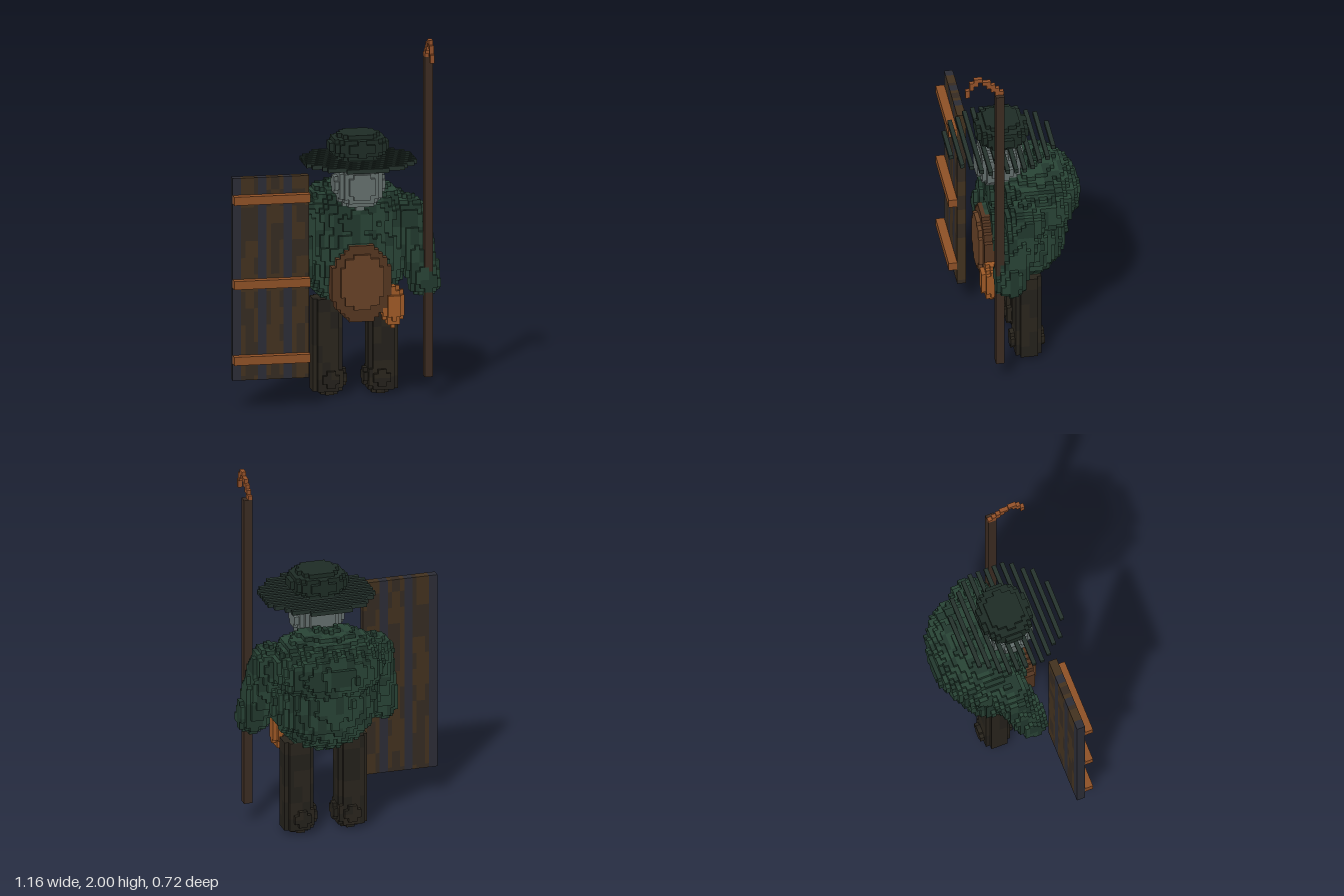
import * as THREE from 'three';

const V = 2 / 86; // voxel size; all measures below are in voxels
const MID = 6;    // mirror line of the figure in x

// Repeatable hash in 0..1
function hash(x, y, z) {
  const s = Math.sin(x * 12.99 + y * 78.23 + z * 37.72 + 4.1) * 43758.55;
  return s - Math.floor(s);
}

const ball = (x, y, z, c, r) =>
  ((x - c[0]) / r[0]) ** 2 + ((y - c[1]) / r[1]) ** 2 + ((z - c[2]) / r[2]) ** 2;

// Squared distance to a tapered limb, relative to its radius
function limb(x, y, z, a, b, ra, rb) {
  const d = b.map((v, i) => v - a[i]);
  const p = [x - a[0], y - a[1], z - a[2]];
  const dot = p[0] * d[0] + p[1] * d[1] + p[2] * d[2];
  const t = Math.min(1, Math.max(0, dot / (d[0] ** 2 + d[1] ** 2 + d[2] ** 2)));
  const q = p.map((v, i) => v - t * d[i]);
  return (q[0] ** 2 + q[1] ** 2 + q[2] ** 2) / (ra + (rb - ra) * t) ** 2;
}

// Two tangents per axis, ordered so that u x v = +axis
const TANGENTS = [[1, 2], [2, 0], [0, 1]];

// Fills a box with cubes where solid() holds and keeps only the exposed faces.
// One mesh is made per colour; pick() chooses the colour of a cube.
function voxels(name, colors, min, max, solid, pick = () => 0) {
  const group = new THREE.Group();
  group.name = name;
  const data = colors.map(() => ({ pos: [], nor: [] }));
  const filled = (c) => c.every((v, i) => v >= min[i] && v < max[i]) &&
    solid(c[0] + 0.5, c[1] + 0.5, c[2]);
  for (let i = min[0]; i < max[0]; i++)
    for (let j = min[1]; j < max[1]; j++)
      for (let k = min[2]; k < max[2]; k++) {
        const cell = [i, j, k];
        if (!filled(cell)) continue;
        const { pos, nor } = data[pick(i, j, k)];
        for (let axis = 0; axis < 3; axis++)
          for (const side of [1, -1]) {
            const next = [...cell];
            next[axis] += side;
            if (filled(next)) continue;
            const [u, v] = TANGENTS[axis];
            const corners = [[-1, -1], [side, -side], [1, 1], [-side, side]].map(([a, b]) => {
              const p = [i + 0.5, j + 0.5, k];
              p[axis] += side / 2;
              p[u] += a / 2;
              p[v] += b / 2;
              return p.map((n) => n * V);
            });
            const normal = [0, 0, 0];
            normal[axis] = side;
            for (const n of [0, 1, 2, 0, 2, 3]) {
              pos.push(...corners[n]);
              nor.push(...normal);
            }
          }
      }
  data.forEach(({ pos, nor }, n) => {
    if (!pos.length) return;
    const geo = new THREE.BufferGeometry();
    geo.setAttribute('position', new THREE.Float32BufferAttribute(pos, 3));
    geo.setAttribute('normal', new THREE.Float32BufferAttribute(nor, 3));
    const mesh = new THREE.Mesh(geo, new THREE.MeshStandardMaterial({ color: colors[n] }));
    mesh.name = name + (n ? 'Shade' + n : '');
    group.add(mesh);
  });
  return group;
}

const all = () => true;
const patches = (i, j, k) => (hash(i >> 1, j >> 2, k >> 1) > 0.5 ? 1 : 0);

export function createModel() {
  const model = new THREE.Group();
  const add = (...args) => model.add(voxels(...args));

  // Hunched cloak with both sleeves, slightly rough
  add('cloak', [0x22392e, 0x294436], [-14, 18, -17], [26, 52, 9], (x, y, z) => {
    const mx = MID + Math.abs(x - MID);
    const rough = 0.95 + 0.12 * hash(Math.floor(x), Math.floor(y / 3), z);
    return Math.min(
      ball(x, y, z, [MID, 42, -5], [13.5, 8.5, 10.5]),
      ball(x, y, z, [MID, 33, -3], [12.5, 12.2, 9.5]),
      limb(mx, y, z, [18.3, 42, -1], [21.5, 27.5, 3], 4.6, 3.7),
    ) < rough;
  }, patches);

  // Head
  add('head', [0x65706e], [-1, 44, -4], [13, 57, 10],
    (x, y, z) => ball(x, y, z, [MID, 51, 3], [6, 6, 6]) < 1);

  // Hat: slatted round brim and rounded crown
  add('hatBrim', [0x25332d], [-8, 56, -10], [20, 57, 17],
    (x, y, z) => Math.abs(z % 2) === 1 && Math.hypot(x - MID, z - 3) < 13.2);
  add('hatCrown', [0x1e2c25], [-2, 57, -5], [14, 63, 11],
    (x, y, z) => ball(x, y, z, [MID, 60, 2.5], [7, 3.4, 6.2]) < 1);

  // Legs with rounded feet
  for (const [side, label] of [[-1, 'right'], [1, 'left']]) {
    add(label + 'Leg', [0x24211b, 0x2a251d], [-5, 0, -8], [18, 23, 4], (x, y, z) => {
      const dx = x - MID - side * 6.5;
      const shaft = y > 1 && (dx / 3.5) ** 2 + ((z + 2.5) / 3) ** 2 < 1.3;
      return shaft || ball(x, y, z, [MID + side * 6, 4, -2.5], [4, 4, 4]) < 1;
    }, patches);
  }

  // Belly plate: dark rim and raised face
  add('bellyPlateRim', [0x553621], [-1, 19, 4], [13, 37, 8],
    (x, y) => ((x - MID) / 7.2) ** 2 + ((y - 28) / 9.2) ** 2 < 1);
  add('bellyPlateFace', [0x684227], [0, 21, 8], [12, 36, 9],
    (x, y) => ((x - MID) / 5.4) ** 2 + ((y - 28.5) / 6.6) ** 2 < 1);

  // Lantern at the hip
  add('lantern', [0xa05a26], [10, 17, 3], [17, 28, 9],
    (x, y, z) => ball(x, y, z, [13.5, 22.3, 6], [2.7, 5, 2.5]) < 1);

  // Staff with a hook bending forward
  add('staff', [0x3c2c22], [21, 5, 5], [23, 81, 7], all);
  const hook = [[5, 81], [6, 81], [6, 82], [7, 82], [7, 83], [8, 83], [8, 84], [9, 84],
    [10, 85], [11, 85], [11, 84], [12, 84], [12, 83], [13, 82], [13, 81]];
  add('staffHook', [0x95522a], [21, 81, 5], [22, 86, 14],
    (x, y, z) => hook.some(([a, b]) => a === z && b === Math.floor(y)));

  // Plank shield: dark strips between mottled boards
  add('shieldPlanks', [0x2c2d36, 0x43321f, 0x352b22], [-25, 7, 9], [-7, 55, 11], all,
    (i, j) => ((i + 25) % 6 < 2 ? 0 : hash(i >> 1, j >> 2, 3) > 0.5 ? 1 : 2));
  for (const y of [11, 29, 49])
    add('shieldBar', [0x8f5127], [-25, y, 11], [-7, y + 2, 13], all);

  return model;
}
